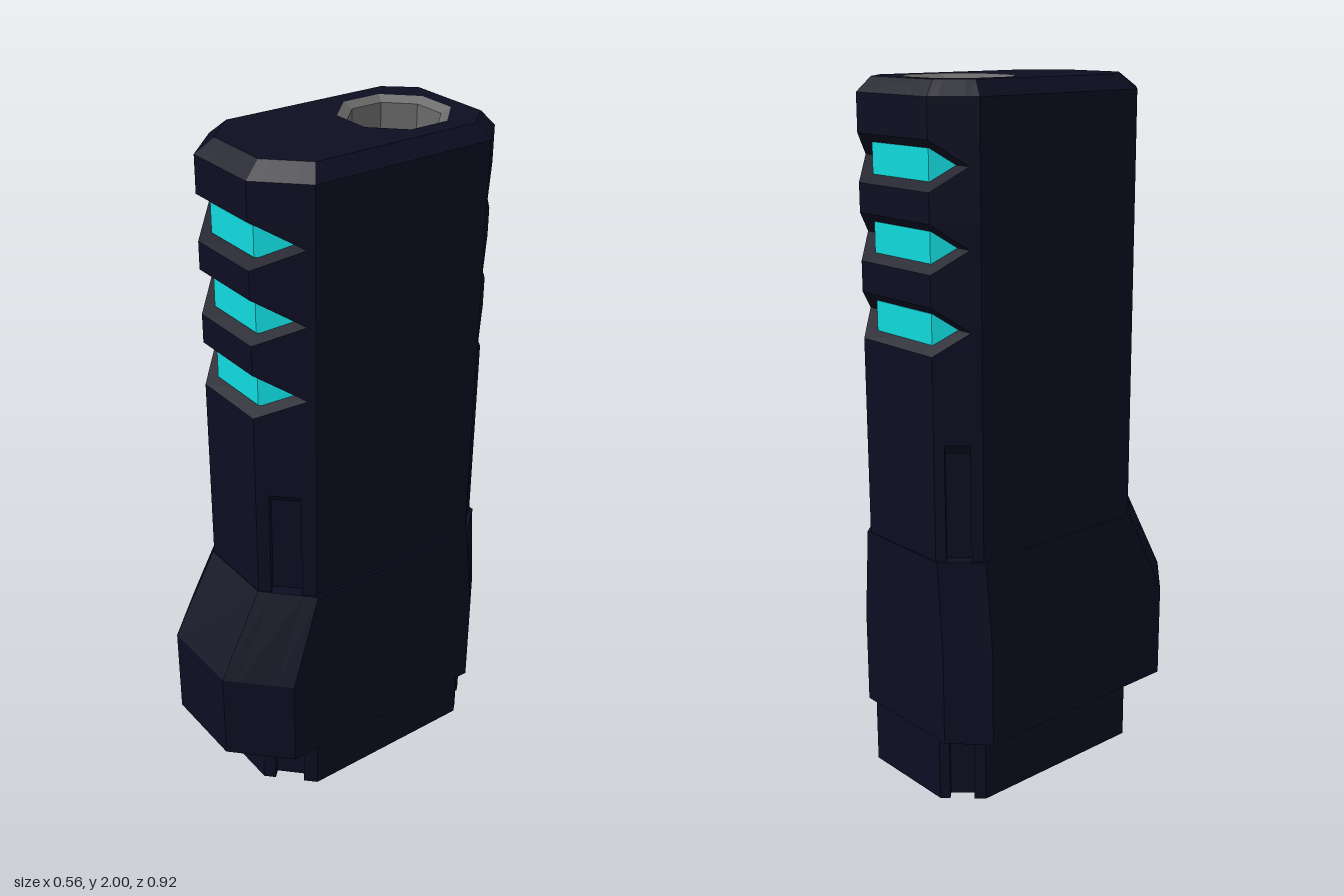
import * as THREE from 'three';
import { mergeGeometries } from 'three/addons/utils/BufferGeometryUtils.js';

const navy = new THREE.MeshStandardMaterial({ color: 0x0d0d22 });
navy.name = 'dark navy';
const cyan = new THREE.MeshStandardMaterial({ color: 0x10dade });
cyan.name = 'glowing cyan';
const grey = new THREE.MeshStandardMaterial({ color: 0x6a6a6a });
grey.name = 'metal grey';

const lerp = THREE.MathUtils.lerp;

// Corners of the right half of the section: front, side front, side back, back, as [x, z]
const BODY = [[0.12, 0.32], [0.24, 0.2], [0.24, -0.36], [0.15, -0.455]];

// Points of one chamfer, with a slot sunk into its middle
function chamfer(a, b, depth) {
  const at = (t, d) => {
    const dx = b[0] - a[0], dz = b[1] - a[1], l = Math.hypot(dx, dz);
    return [lerp(a[0], b[0], t) + (dz / l) * d, lerp(a[1], b[1], t) - (dx / l) * d];
  };
  return [a, at(0.22, 0), at(0.22, depth), at(0.75, depth), at(0.75, 0), b];
}

// Full symmetrical section, running counter-clockwise seen from above
function section(y, c, depth = 0) {
  const front = chamfer(c[0], c[1], depth);
  const back = chamfer(c[3], c[2], -depth).reverse();
  const half = [...front, ...back];
  const mirrored = half.map(([x, z]) => [-x, z]).reverse();
  return [...half, ...mirrored].map(([x, z]) => [x, y, z]);
}

// Cut the section off at a front and a back plane
function clipped(zFront, zBack) {
  const [f0, f1, b1, b0] = BODY;
  const tf = (zFront - f1[1]) / (f0[1] - f1[1]);
  const tb = (zBack - b1[1]) / (b0[1] - b1[1]);
  return [[lerp(f1[0], f0[0], tf), zFront], f1, b1, [lerp(b1[0], b0[0], tb), zBack]];
}

// Faceted skin between rings listed from bottom to top
function loft(rings) {
  const pos = [];
  for (let r = 0; r < rings.length - 1; r++) {
    const lo = rings[r], hi = rings[r + 1];
    for (let i = 0; i < lo.length; i++) {
      const j = (i + 1) % lo.length;
      pos.push(...lo[i], ...lo[j], ...hi[j], ...lo[i], ...hi[j], ...hi[i]);
    }
  }
  const g = new THREE.BufferGeometry();
  g.setAttribute('position', new THREE.Float32BufferAttribute(pos, 3));
  g.computeVertexNormals();
  return g;
}

// Flat cap over a ring, facing up or down
function cap(ring, up, hole) {
  const s = up ? -1 : 1;
  const to2 = ([x, , z]) => new THREE.Vector2(x, z * s);
  const shape = new THREE.Shape(ring.map(to2));
  if (hole) shape.holes.push(new THREE.Path(hole.map(to2)));
  const g = new THREE.ShapeGeometry(shape).toNonIndexed();
  g.deleteAttribute('uv');
  return g.rotateX((s * Math.PI) / 2).translate(0, ring[0][1], 0);
}

function solid(rings, hole) {
  return mergeGeometries([loft(rings), cap(rings[0], false), cap(rings[rings.length - 1], true, hole)]);
}

// Octagonal ring of the socket, measured across the flats
function octagon(y, apothem) {
  const r = apothem / Math.cos(Math.PI / 8);
  return Array.from({ length: 8 }, (_, i) => {
    const a = ((i + 0.5) * Math.PI) / 4;
    return [Math.sin(a) * r, y, -0.23 + Math.cos(a) * r];
  });
}

export function createModel() {
  const group = new THREE.Group();
  const add = (name, geometry, material) => {
    const mesh = new THREE.Mesh(geometry, material);
    mesh.name = name;
    group.add(mesh);
  };
  const notches = [1.365, 1.58, 1.79];

  // Main body: slotted lower half, V notches above, bevelled top
  const rings = [section(0, BODY, 0.03), section(1.03, BODY, 0.03), section(1.06, BODY)];
  for (const y of notches) {
    rings.push(section(y - 0.065, BODY));
    rings.push(section(y, clipped(0.215, -0.38)));
    rings.push(section(y + 0.065, BODY));
  }
  rings.push(section(1.96, BODY));
  rings.push(section(2, [[0.1, 0.27], [0.2, 0.17], [0.2, -0.34], [0.13, -0.42]]));
  add('body', solid(rings, octagon(2, 0.145)), navy);

  // Flared collar around the lower body
  const wide = [[0.13, 0.46], [0.28, 0.31], [0.28, -0.365], [0.18, -0.46]];
  const narrow = [[0.122, 0.323], [0.248, 0.2], [0.248, -0.36], [0.16, -0.459]];
  add('collar', solid([section(0.19, wide), section(0.47, wide), section(0.73, narrow)]), navy);

  // Light strips inside the notches, showing at front and back
  const inset = [[0.1, 0.29], [0.19, 0.2], [0.19, -0.36], [0.12, -0.43]];
  notches.forEach((y, i) => {
    add('lightStrip' + (i + 1), solid([section(y - 0.042, inset), section(y + 0.042, inset)]), cyan);
  });

  // Socket in the top: sloped rim, straight wall and floor
  const floor = octagon(1.845, 0.12);
  add('socketRim', loft([octagon(2, 0.145), octagon(1.985, 0.12)]), grey);
  add('socketWall', loft([octagon(1.985, 0.12), floor]), grey);
  add('socketFloor', cap(floor, true), navy);

  return group;
}
